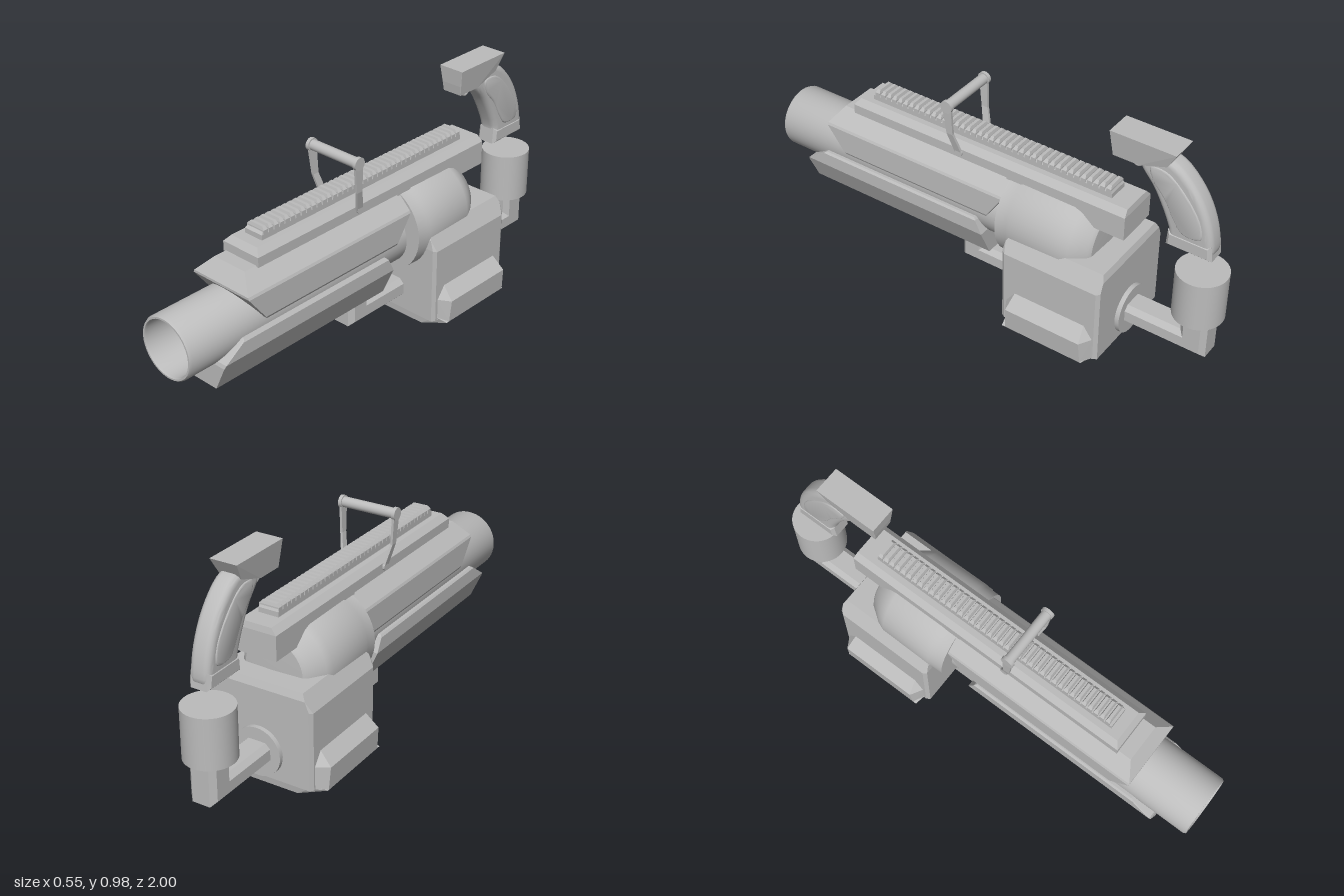
import * as THREE from 'three';
import { ConvexGeometry } from 'three/addons/geometries/ConvexGeometry.js';
import { toCreasedNormals } from 'three/addons/utils/BufferGeometryUtils.js';

export function createModel() {
  const model = new THREE.Group();
  model.name = 'launcher';
  const grey = new THREE.MeshStandardMaterial({ color: 0xbcbcbc });
  grey.name = 'metal grey';

  const add = (name, geometry, x = 0, y = 0, z = 0, parent = model) => {
    const mesh = new THREE.Mesh(geometry, grey);
    mesh.name = name;
    mesh.position.set(x, y, z);
    parent.add(mesh);
    return mesh;
  };
  // Convex solid from rows [x, y, zFront, zBack], mirrored in x
  const hull = (name, rows) => {
    const pts = [];
    for (const [x, y, a, b] of rows)
      for (const s of [1, -1]) for (const z of [a, b]) pts.push(new THREE.Vector3(s * x, y, z));
    return add(name, new ConvexGeometry(pts));
  };
  // Side outline [z, y] extruded across x with a bevel kept inside the outline
  const side = (name, outline, width, bevel, smooth = false) => {
    const pts = outline.map(([z, y]) => new THREE.Vector2(z, y));
    const shape = new THREE.Shape(smooth ? new THREE.CatmullRomCurve3(
      pts.map(p => new THREE.Vector3(p.x, p.y, 0)), true, 'centripetal').getPoints(48).slice(0, -1)
      .map(p => new THREE.Vector2(p.x, p.y)) : pts);
    const geo = new THREE.ExtrudeGeometry(shape, {
      depth: width - 2 * bevel, bevelThickness: bevel, bevelSize: bevel, bevelOffset: -bevel,
      bevelSegments: smooth ? 5 : 1,
    });
    geo.translate(0, 0, -(width - 2 * bevel) / 2);
    geo.rotateY(-Math.PI / 2);
    return add(name, smooth ? toCreasedNormals(geo, 0.6) : geo);
  };
  // Closed or open lathe running along z
  const lathe = (name, profile, y) => {
    const geo = new THREE.LatheGeometry(profile.map(([r, z]) => new THREE.Vector2(r, z)), 48);
    geo.rotateX(Math.PI / 2);
    return add(name, toCreasedNormals(geo, 0.5), 0, y);
  };

  // Hollow barrel
  lathe('barrel', [[0.112, -0.12], [0.127, -0.12], [0.127, 0.99], [0.122, 1], [0.115, 1],
    [0.112, 0.992], [0.112, -0.12]], 0.413);

  // Round chamber with tapered back
  lathe('chamber', [[0, -0.51], [0.125, -0.505], [0.14, -0.495], [0.183, -0.435], [0.193, -0.405],
    [0.195, -0.18], [0.19, -0.165], [0.19, -0.115], [0, -0.115]], 0.443);

  // Upper and lower barrel shrouds
  hull('upperShroud', [
    [0.078, 0.62, 0.69, -0.12], [0.14, 0.558, 0.735, -0.12], [0.145, 0.548, 0.735, -0.115],
    [0.145, 0.445, 0.657, -0.045], [0.14, 0.435, 0.65, -0.04],
  ]);
  hull('lowerShroud', [
    [0.138, 0.4, 0.76, 0.015], [0.145, 0.392, 0.77, 0.008], [0.145, 0.335, 0.855, -0.02],
    [0.138, 0.32, 0.86, -0.02], [0.09, 0.215, 0.86, -0.02],
  ]);

  // Top beam with chamfered shoulders and a deeper tail
  hull('topBeam', [[0.09, 0.615, 0.635, -0.615], [0.09, 0.655, 0.635, -0.615],
    [0.067, 0.68, 0.615, -0.61]]);
  add('beamTail', new THREE.BoxGeometry(0.18, 0.1, 0.515), 0, 0.605, -0.3575);

  // Ribbed rail
  hull('railBase', [[0.043, 0.678, 0.57, -0.53], [0.043, 0.7, 0.57, -0.53], [0.038, 0.71, 0.56, -0.525]]);
  const teeth = 40;
  for (let i = 0; i < teeth; i++) {
    const z = 0.55 - i * 1.065 / (teeth - 1);
    hull('railTooth', [[0.043, 0.7, z + 0.011, z - 0.011], [0.043, 0.715, z + 0.01, z - 0.01],
      [0.032, 0.727, z + 0.006, z - 0.006]]);
  }

  // Folding sight: crossbar, bent arms and pivots
  const bar = new THREE.CylinderGeometry(0.021, 0.021, 0.24, 24).rotateZ(Math.PI / 2);
  add('sightBar', bar, 0, 0.852, 0.15);
  const cap = new THREE.CylinderGeometry(0.026, 0.026, 0.014, 24).rotateZ(Math.PI / 2);
  const pin = new THREE.CylinderGeometry(0.016, 0.016, 0.016, 16).rotateZ(Math.PI / 2);
  const stations = [[0.118, 0.85, 0.15, 0.02], [0.113, 0.73, 0.142, 0.014], [0.092, 0.635, 0.117, 0.016]];
  for (const s of [1, -1]) {
    add('sightCap', cap, s * 0.119, 0.852, 0.15);
    add('sightPivot', pin, s * 0.092, 0.64, 0.117);
    for (let i = 0; i < 2; i++) {
      const pts = [];
      for (const [x, y, z, w] of [stations[i], stations[i + 1]])
        for (const dx of [-0.005, 0.005]) for (const dz of [-w, w])
          pts.push(new THREE.Vector3(s * x + dx, y, z + dz));
      add('sightArm', new ConvexGeometry(pts));
    }
  }

  // Magazine box with bevelled corners and sloped shoulders
  hull('magazineBox', [
    [0.225, 0.055, -0.185, -0.59], [0.215, 0.055, -0.17, -0.605],
    [0.225, 0.375, -0.185, -0.59], [0.215, 0.38, -0.17, -0.605],
    [0.2, 0.42, -0.175, -0.605], [0.185, 0.447, -0.195, -0.595],
  ]);
  hull('magazineFloor', [[0.138, 0.002, -0.2, -0.57], [0.138, 0, -0.205, -0.565],
    [0.268, 0.055, -0.205, -0.565], [0.225, 0.065, -0.195, -0.58]]);
  // Side pods
  hull('sidePods', [
    [0.222, 0.055, -0.195, -0.585], [0.268, 0.055, -0.22, -0.56],
    [0.222, 0.15, -0.195, -0.585], [0.275, 0.15, -0.225, -0.555],
    [0.222, 0.205, -0.235, -0.545],
  ]);

  // Front feed pipe, rear arm and its collar
  side('frontPipe', [[0.135, 0.24], [0.135, 0.105], [-0.2, 0.105], [-0.2, 0.19], [0.03, 0.19], [0.03, 0.24]],
    0.134, 0.02);
  side('rearArm', [[-0.58, 0.125], [-0.96, 0.125], [-0.96, 0.32], [-0.85, 0.32], [-0.85, 0.21], [-0.58, 0.21]],
    0.115, 0.02);
  add('armCollar', new THREE.CylinderGeometry(0.1, 0.1, 0.03, 40).rotateX(Math.PI / 2), 0, 0.163, -0.608);
  add('rearCanister', new THREE.CylinderGeometry(0.1, 0.1, 0.205, 40), 0, 0.392, -0.896);

  // Grip with raised side panels and flared foot
  side('grip', [[-0.63, 0.905], [-0.69, 0.935], [-0.77, 0.925], [-0.865, 0.835], [-0.925, 0.71],
    [-0.94, 0.6], [-0.93, 0.585], [-0.77, 0.585], [-0.757, 0.65], [-0.69, 0.79], [-0.63, 0.87]],
  0.085, 0.025, true);
  side('gripPanel', [[-0.675, 0.885], [-0.74, 0.89], [-0.83, 0.815], [-0.89, 0.72], [-0.895, 0.655],
    [-0.82, 0.65], [-0.785, 0.69], [-0.74, 0.77], [-0.69, 0.83]], 0.094, 0.008, true);
  side('gripFoot', [[-0.935, 0.64], [-0.942, 0.573], [-0.755, 0.573], [-0.76, 0.64]], 0.09, 0.012);

  // Wedge head over the grip
  hull('gripHead', [[0.056, 0.98, -0.512, -0.78], [0.045, 0.912, -0.517, -0.742],
    [0.043, 0.872, -0.523, -0.63]]);

  // Trigger and guard
  const guard = new THREE.CatmullRomCurve3([[0.885, -0.555], [0.86, -0.575], [0.838, -0.6],
    [0.85, -0.622], [0.89, -0.632]].map(([y, z]) => new THREE.Vector3(0, y, z)));
  add('triggerGuard', new THREE.TubeGeometry(guard, 20, 0.006, 8));
  hull('trigger', [[0.006, 0.885, -0.585, -0.602], [0.004, 0.855, -0.593, -0.6]]);

  return model;
}
